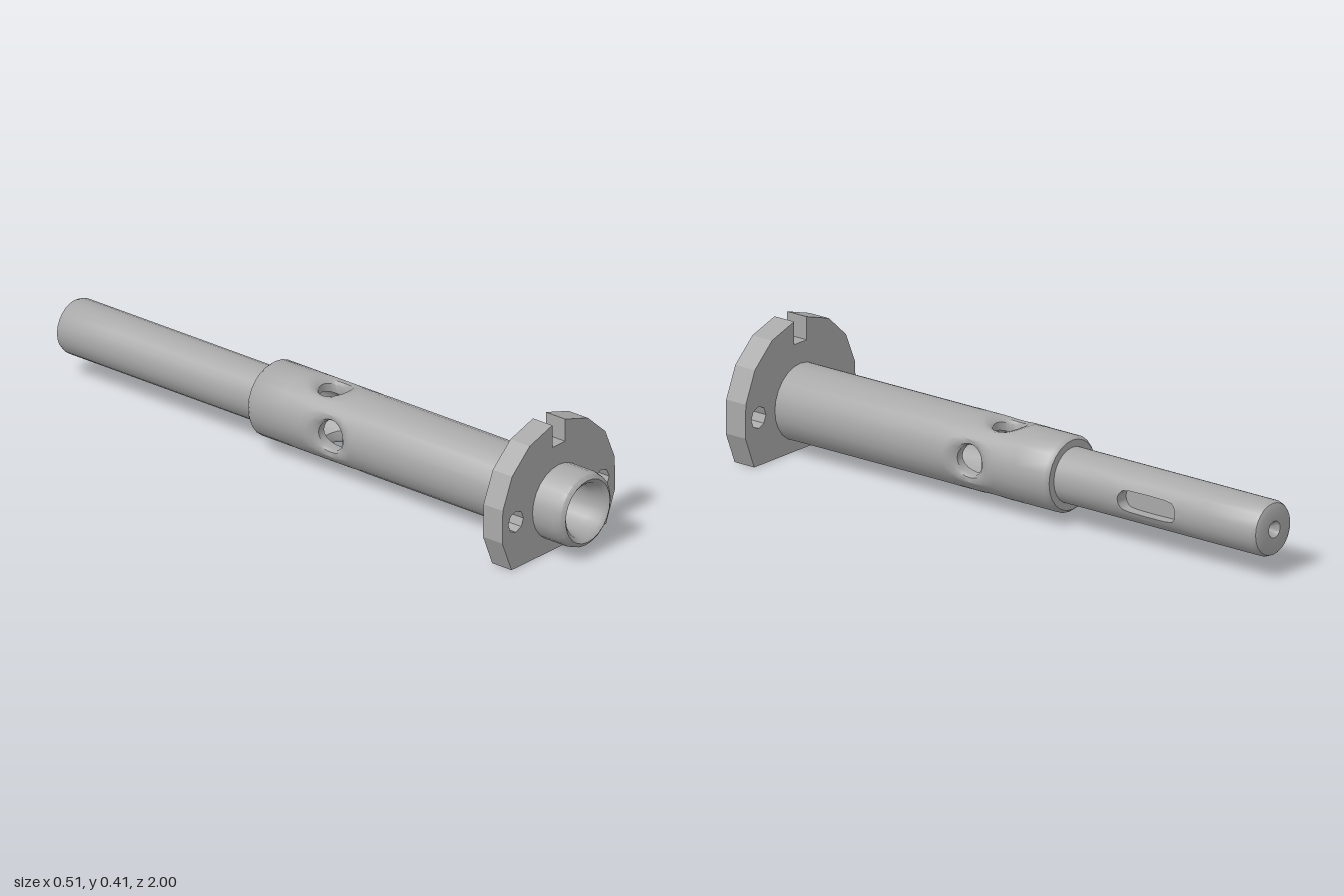
import * as THREE from 'three';
import { mergeGeometries, toCreasedNormals } from 'three/addons/utils/BufferGeometryUtils.js';

const SIDES = 24, AXIS_Y = 0.15;
const BARREL_R = 0.118, BORE_R = 0.073, ROD_R = 0.086;
const clamp = (v) => Math.max(-1, Math.min(1, v));
const lerp = THREE.MathUtils.lerp;

// Surface of revolution about z from [radius, z] points
function turned(profile, start = 0, length = Math.PI * 2) {
  const segments = Math.round((SIDES * length) / (Math.PI * 2));
  const g = new THREE.LatheGeometry(profile.map(([r, z]) => new THREE.Vector2(r, z)), segments, start, length);
  g.rotateX(Math.PI / 2);
  g.deleteAttribute('uv');
  return g;
}

// Row of an opening: outline(a) gives [u, z] on a cylinder of radius r
const onCylinder = (r, outline) => (a) => {
  const [u, z] = outline(a);
  return [Math.sqrt(r * r - u * u), u, z];
};

// Rows blending from a quarter-cylinder border (zMid +- zHalf) to an opening outline
function blendRows(r, zMid, zHalf, outline, steps = 4) {
  return Array.from({ length: steps + 1 }, (_, i) => (a) => {
    const [u, z] = outline(a), t = i / steps;
    const side = clamp((Math.asin(clamp(Math.cos(a))) * 4) / Math.PI);
    const end = clamp((Math.asin(clamp(Math.sin(a))) * 4) / Math.PI);
    const angle = lerp((side * Math.PI) / 4, Math.asin(u / r), t);
    return [r * Math.cos(angle), r * Math.sin(angle), lerp(zMid + end * zHalf, z, t)];
  });
}

// Skin closed rows into a patch, turned to one of four quarters
function patch(rows, quarter) {
  const pos = [], index = [], n = SIDES + 1;
  rows.forEach((row, i) => {
    for (let k = 0; k < n; k++) {
      pos.push(...row(((k % SIDES) / SIDES) * Math.PI * 2));
      if (i < rows.length - 1 && k < SIDES) {
        const p = i * n + k;
        index.push(p, p + 1, p + n, p + 1, p + n + 1, p + n);
      }
    }
  });
  const g = new THREE.BufferGeometry();
  g.setAttribute('position', new THREE.Float32BufferAttribute(pos, 3));
  g.setIndex(index);
  g.rotateZ((quarter * Math.PI) / 2);
  g.computeVertexNormals();
  return g;
}

const ellipse = (ru, rz, zc) => (a) => [ru * Math.cos(a), zc + rz * Math.sin(a)];

// Quarter of the barrel with a softened cross hole through its wall
function crossHole(quarter) {
  const zc = quarter % 2 ? 0.015 : 0.085;
  const hole = ellipse(0.047, 0.047, zc);
  return patch([
    ...blendRows(BARREL_R, 0.05, 0.15, ellipse(0.067, 0.085, zc)),
    onCylinder(0.109, ellipse(0.053, 0.058, zc)),
    onCylinder(0.098, hole),
    ...blendRows(BORE_R, 0.05, 0.15, hole).reverse(),
  ], quarter);
}

function barrelGeometry() {
  const parts = [
    // front tube, rounded mouth and bore
    turned([[BARREL_R, 0.2], [BARREL_R, 0.97], [0.113, 0.991], [0.1, 1], [0.086, 0.989], [BORE_R, 0.95], [BORE_R, 0.2]]),
    // domed end of the bore
    turned([[BORE_R, -0.1], [BORE_R, -0.14], [0.062, -0.17], [0.038, -0.19], [0, -0.2]]),
    // rear collar
    turned([[0.08, -0.228], [0.108, -0.228], [BARREL_R, -0.215], [BARREL_R, -0.1]]),
  ];
  for (let q = 0; q < 4; q++) parts.push(crossHole(q));
  return toCreasedNormals(mergeGeometries(parts), 0.75);
}

function rodGeometry() {
  const zc = -0.58;
  const slot = (a) => [0.034 * Math.cos(a), zc + 0.076 * clamp(3 * Math.sin(a)) + 0.034 * Math.sin(a)];
  const floor = 0.045;
  return toCreasedNormals(mergeGeometries([
    // rear end with a centre dimple
    turned([[0, -0.965], [0.02, -0.99], [0.026, -1], [0.068, -1], [0.08, -0.994], [ROD_R, -0.98], [ROD_R, -0.8]]),
    // plain three quarters beside the slot
    turned([[ROD_R, -0.8], [ROD_R, -0.36]], Math.PI * 0.75, Math.PI * 1.5),
    turned([[ROD_R, -0.36], [ROD_R, -0.22]]),
    // slotted quarter on the left side
    patch([
      ...blendRows(ROD_R, zc, 0.22, slot),
      (a) => [floor, ...slot(a)],
      () => [floor, 0, zc],
    ], 0),
  ]), 0.6);
}

// Notched mounting plate, flat at the bottom
function flangeGeometry() {
  const half = [[0.213, 0], [0.254, 0.1], [0.252, 0.205], [0.21, 0.302], [0.131, 0.373], [0.029, 0.405], [0.029, 0.333]];
  const mirrored = half.map(([x, y]) => [-x, y]).reverse();
  const shape = new THREE.Shape([...half, ...mirrored].map(([x, y]) => new THREE.Vector2(x, y)));
  const addHole = (cx, r, n) => {
    const pts = Array.from({ length: n }, (_, i) => {
      const a = (-i / n) * Math.PI * 2;
      return new THREE.Vector2(cx + r * Math.cos(a), AXIS_Y + r * Math.sin(a));
    });
    shape.holes.push(new THREE.Path(pts));
  };
  addHole(0, 0.11, SIDES);
  for (const s of [-1, 1]) addHole(s * 0.193, 0.034, 8);
  const g = new THREE.ExtrudeGeometry(shape, { depth: 0.075, bevelEnabled: false });
  return g.translate(0, 0, 0.812);
}

export function createModel() {
  const group = new THREE.Group();
  const steel = new THREE.MeshStandardMaterial({ color: 0xa8a8a8 });
  steel.name = 'steel grey';
  const add = (name, geometry, y) => {
    const mesh = new THREE.Mesh(geometry, steel);
    mesh.name = name;
    mesh.position.y = y;
    group.add(mesh);
  };
  add('barrel', barrelGeometry(), AXIS_Y);
  add('rod', rodGeometry(), AXIS_Y);
  add('flange', flangeGeometry(), 0);
  return group;
}
